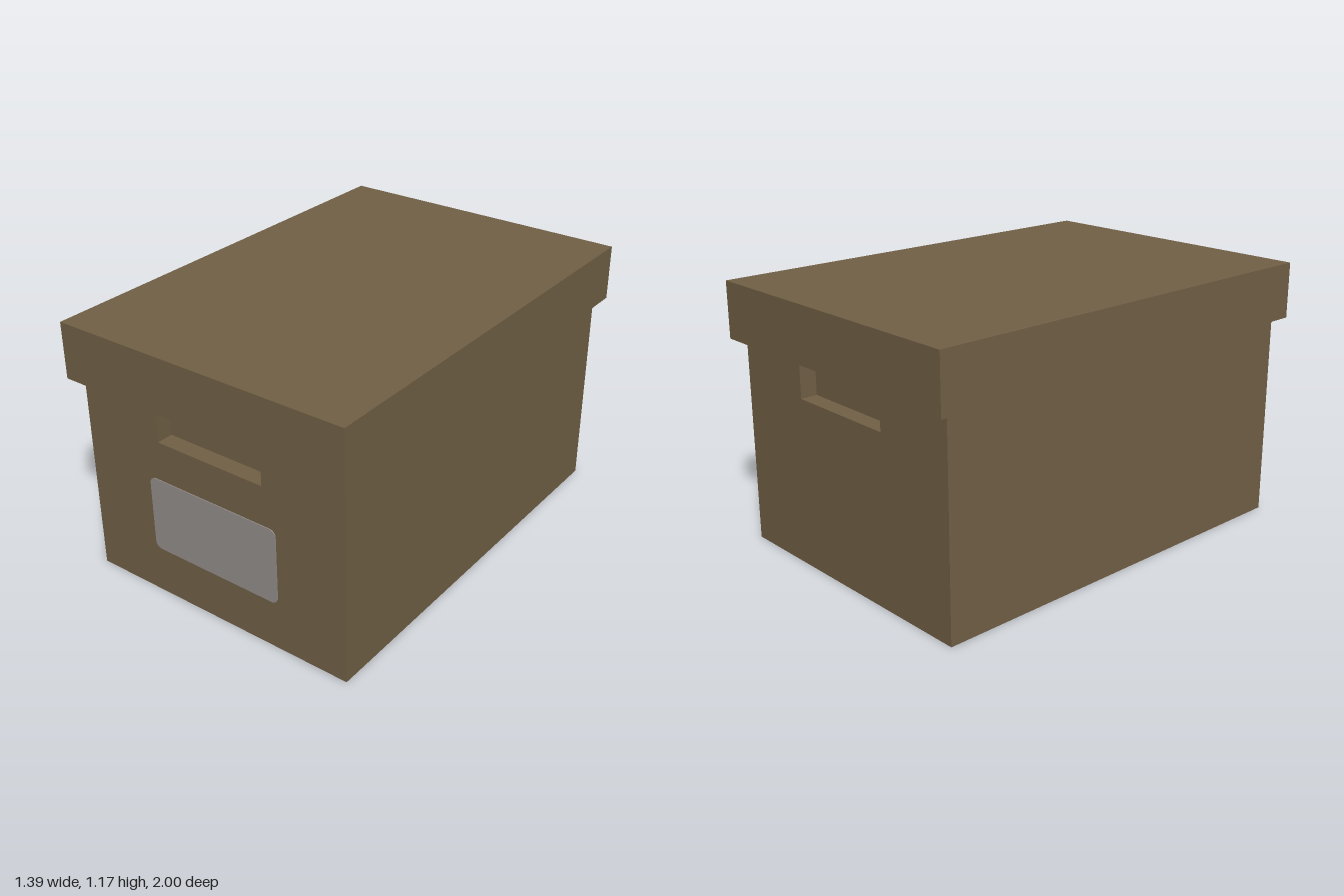
import * as THREE from 'three';

export function createModel() {
  const cardboard = new THREE.MeshStandardMaterial({ color: 0x716046 });
  cardboard.name = 'cardboard brown';
  const paper = new THREE.MeshStandardMaterial({ color: 0x938d89 });
  paper.name = 'label grey';

  const model = new THREE.Group();
  model.name = 'storageBox';
  const add = (name, geometry, material, x, y, z) => {
    const mesh = new THREE.Mesh(geometry, material);
    mesh.name = name;
    mesh.position.set(x, y, z);
    model.add(mesh);
    return mesh;
  };

  const halfW = 0.657, halfD = 0.943, bodyH = 0.92, recess = 0.075;
  const gripHalf = 0.265, gripY = 0.745;

  // Body core between the two end panels
  const coreD = 2 * (halfD - recess);
  add('bodyCore', new THREE.BoxGeometry(2 * halfW, bodyH, coreD), cardboard, 0, bodyH / 2, 0);

  // End panels, each with a hand grip notch below the lid
  const panel = new THREE.Shape([
    [-halfW, 0], [halfW, 0], [halfW, bodyH], [gripHalf, bodyH],
    [gripHalf, gripY], [-gripHalf, gripY], [-gripHalf, bodyH], [-halfW, bodyH],
  ].map(([x, y]) => new THREE.Vector2(x, y)));
  const panelGeometry = new THREE.ExtrudeGeometry(panel, { depth: recess, bevelEnabled: false });
  add('frontPanel', panelGeometry, cardboard, 0, 0, coreD / 2);
  add('backPanel', panelGeometry, cardboard, 0, 0, -coreD / 2).rotation.y = Math.PI;

  // Overhanging lid
  add('lid', new THREE.BoxGeometry(1.39, 0.25, 2), cardboard, 0, bodyH + 0.125, 0);

  // Rounded label on the front
  const w = 0.326, h = 0.173, r = 0.03;
  const label = new THREE.Shape();
  label.absarc(w - r, h - r, r, 0, Math.PI / 2);
  label.absarc(-w + r, h - r, r, Math.PI / 2, Math.PI);
  label.absarc(-w + r, -h + r, r, Math.PI, Math.PI * 1.5);
  label.absarc(w - r, -h + r, r, Math.PI * 1.5, Math.PI * 2);
  label.closePath();
  add('label', new THREE.ExtrudeGeometry(label, { depth: 0.004, bevelEnabled: false, curveSegments: 6 }),
    paper, 0, 0.394, halfD);

  return model;
}
